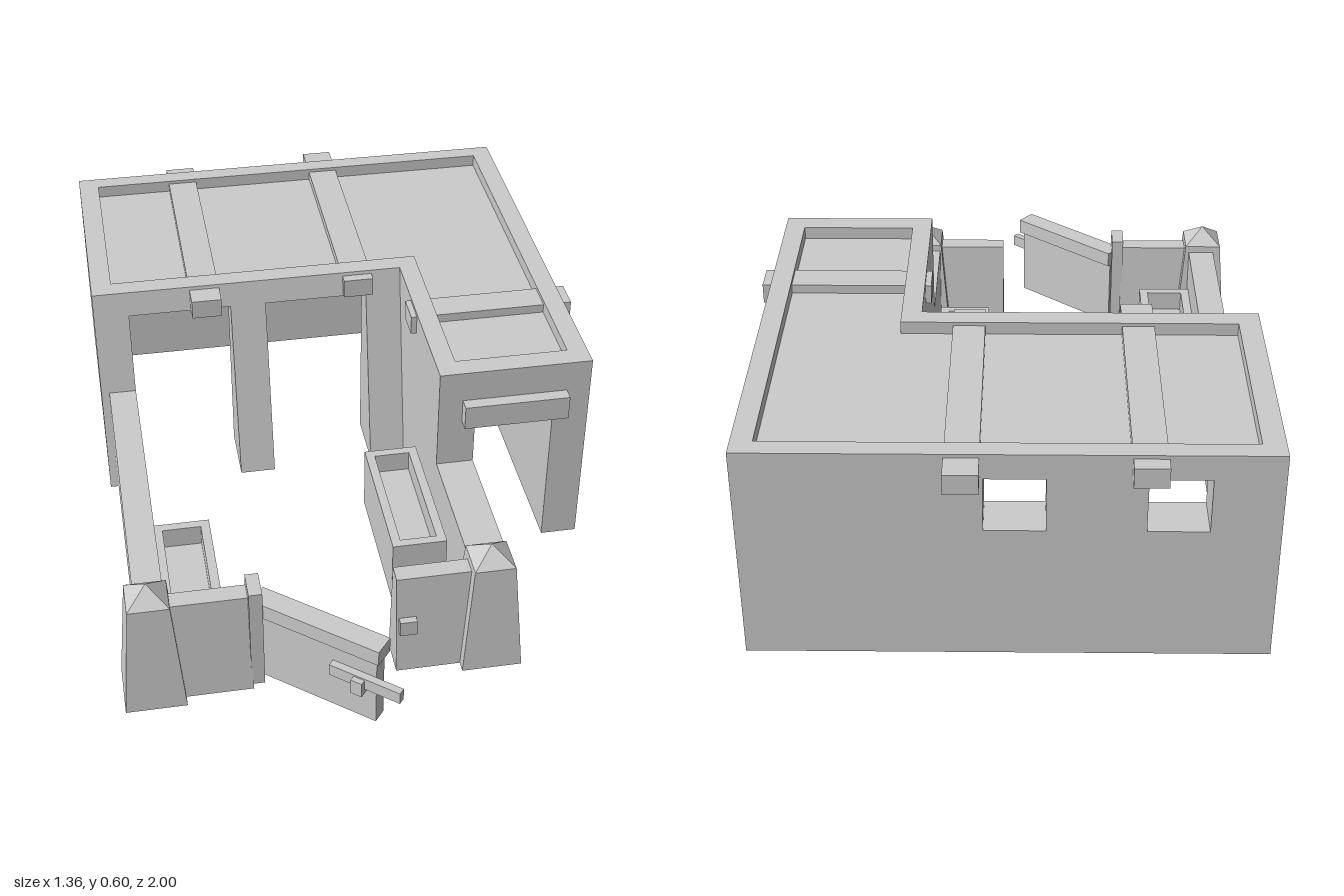
import * as THREE from 'three';

const mat = new THREE.MeshStandardMaterial({ color: 0xcccccc, flatShading: true, side: THREE.DoubleSide });

// Adds a mesh, leaving its underside open where it stands on the ground
function add(parent, name, geo) {
  const src = geo.index ? geo.toNonIndexed() : geo;
  const p = src.attributes.position;
  const kept = [];
  for (let i = 0; i < p.count; i += 3) {
    if (Math.max(p.getY(i), p.getY(i + 1), p.getY(i + 2)) > 1e-4) kept.push(i, i + 1, i + 2);
  }
  src.setIndex(kept);
  const m = new THREE.Mesh(src, mat);
  m.name = name;
  parent.add(m);
}

// Box given by its extents
function box(parent, name, x0, x1, y0, y1, z0, z1) {
  const g = new THREE.BoxGeometry(x1 - x0, y1 - y0, z1 - z0);
  g.translate((x0 + x1) / 2, (y0 + y1) / 2, (z0 + z1) / 2);
  add(parent, name, g);
}

// Floor plan of [x, z] points raised from y0 to y1, with an optional hole
function plan(parent, name, pts, y0, y1, hole) {
  const toV = (p) => p.map(([x, z]) => new THREE.Vector2(x, -z)).reverse();
  const s = new THREE.Shape(toV(pts));
  if (hole) s.holes.push(new THREE.Path(toV(hole)));
  const g = new THREE.ExtrudeGeometry(s, { depth: y1 - y0, bevelEnabled: false });
  g.rotateX(-Math.PI / 2).translate(0, y0, 0);
  add(parent, name, g);
}

// Side profile of [z, y] points swept from x0 to x1
function sweep(parent, name, pts, x0, x1) {
  const s = new THREE.Shape(pts.map(([z, y]) => new THREE.Vector2(z, y)));
  const g = new THREE.ExtrudeGeometry(s, { depth: x1 - x0, bevelEnabled: false });
  g.rotateY(-Math.PI / 2).translate(x1, 0, 0);
  add(parent, name, g);
}

// Square tapered block
function taper(parent, name, x, z, halfBottom, halfTop, y0, y1) {
  const g = new THREE.CylinderGeometry(halfTop * Math.SQRT2, halfBottom * Math.SQRT2, y1 - y0, 4, 1);
  g.rotateY(Math.PI / 4).translate(x, (y0 + y1) / 2, z);
  add(parent, name, g);
}

const rect = (x0, x1, z0, z1) => [[x0, z0], [x1, z0], [x1, z1], [x0, z1]];

// L-shaped plan: main block plus the wing on the left
const ell = (x0, x1, xw, z0, zm, z1) =>
  [[x0, z0], [x1, z0], [x1, z1], [xw, z1], [xw, zm], [x0, zm]];

function house() {
  const g = new THREE.Group();
  g.name = 'house';
  const outer = ell(-0.658, 0.655, 0.234, -0.93, -0.265, 0.28);
  const inner = ell(-0.6, 0.6, 0.288, -0.88, -0.32, 0.22);
  const top = 0.53;
  const sill = 0.38;

  // Parapet and sunken roof
  plan(g, 'parapet', outer, top, 0.6, inner);
  plan(g, 'roof', inner, top, 0.565);

  // Back wall with two windows below the roof
  const inside = -0.81;
  box(g, 'backWall', -0.658, 0.655, 0, sill, -0.93, inside);
  for (const [a, b] of [[-0.658, -0.486], [-0.335, -0.093], [0.058, 0.655]]) {
    box(g, 'backWallPier', a, b, sill, top, -0.93, inside);
  }

  // Thick side walls; the wing's pair flank its doorway
  box(g, 'rightWall', -0.658, -0.558, 0, top, inside, -0.32);
  box(g, 'leftWall', 0.555, 0.655, 0, top, inside, 0.28);
  box(g, 'wingInnerWall', 0.234, 0.337, 0, top, -0.32, 0.28);
  box(g, 'doorHead', 0.337, 0.555, 0.46, top, 0.18, 0.28);
  box(g, 'doorLintel', 0.3, 0.59, 0.44, 0.51, 0.27, 0.315);

  // Battered piers and lintel of the open front
  const batter = (zBack, y0, y1) => {
    const z = (y) => -0.265 + 0.125 * (1 - y / 0.6);
    return [[zBack, y0], [z(y0), y0], [z(y1), y1], [zBack, y1]];
  };
  for (const [a, b] of [[-0.658, -0.558], [-0.265, -0.163], [0.132, 0.234]]) {
    sweep(g, 'frontPier', batter(-0.32, 0, top), a, b);
  }
  sweep(g, 'frontLintel', batter(-0.266, top, 0.6), -0.658, 0.234);

  // Roof beams poking through the walls
  box(g, 'roofBeam', -0.38, -0.295, 0.535, 0.59, -0.97, -0.2);
  box(g, 'roofBeam', 0.065, 0.15, 0.535, 0.59, -1, -0.235);
  box(g, 'roofBeam', 0.218, 0.68, 0.535, 0.59, -0.105, -0.02);
  return g;
}

function yardWalls() {
  const g = new THREE.Group();
  g.name = 'yardWalls';
  box(g, 'yardWall', -0.635, -0.558, 0, 0.3, -0.22, 0.66);
  box(g, 'yardWall', 0.234, 0.337, 0, 0.3, 0.27, 0.66);

  // Corner pillars with pyramid caps
  for (const x of [-0.602, 0.285]) {
    taper(g, 'cornerPillar', x, 0.7, 0.08, 0.054, 0, 0.32);
    taper(g, 'pillarCap', x, 0.7, 0.054, 0, 0.32, 0.365);
  }

  // Battered front walls either side of the gate
  const profile = [[0.65, 0], [0.75, 0], [0.725, 0.3], [0.675, 0.3]];
  sweep(g, 'gateWall', profile, -0.6, -0.345);
  sweep(g, 'gateWall', profile, 0.033, 0.28);
  box(g, 'latchCatch', 0.04, 0.085, 0.13, 0.175, 0.7, 0.755);
  return g;
}

function gate() {
  const g = new THREE.Group();
  g.name = 'gate';
  box(g, 'gatePost', -0.35, -0.315, 0.012, 0.325, 0.665, 0.745);
  const leaf = new THREE.Group();
  leaf.name = 'gateLeaf';
  leaf.position.set(-0.323, 0, 0.693);
  leaf.rotation.y = -0.69;
  box(leaf, 'gatePanel', 0, 0.36, 0.023, 0.24, -0.02, 0.02);
  box(leaf, 'gateRail', 0, 0.37, 0.235, 0.28, -0.03, 0.03);
  box(leaf, 'latchBar', 0.235, 0.437, 0.145, 0.18, 0.02, 0.04);
  box(leaf, 'latchBracket', 0.305, 0.337, 0.13, 0.175, 0.015, 0.055);
  g.add(leaf);
  return g;
}

// Block trough with a shallow basin
function trough(x0, x1, z0, z1) {
  const g = new THREE.Group();
  g.name = 'trough';
  const t = 0.025;
  const outline = rect(x0, x1, z0, z1);
  plan(g, 'troughBase', outline, 0, 0.13);
  plan(g, 'troughRim', outline, 0.13, 0.19, rect(x0 + t, x1 - t, z0 + t, z1 - t));
  return g;
}

export function createModel() {
  const model = new THREE.Group();
  model.name = 'courtyardHouse';
  model.add(house(), yardWalls(), gate());
  model.add(trough(-0.558, -0.403, 0.28, 0.602), trough(0.075, 0.225, 0.058, 0.477));
  return model;
}
